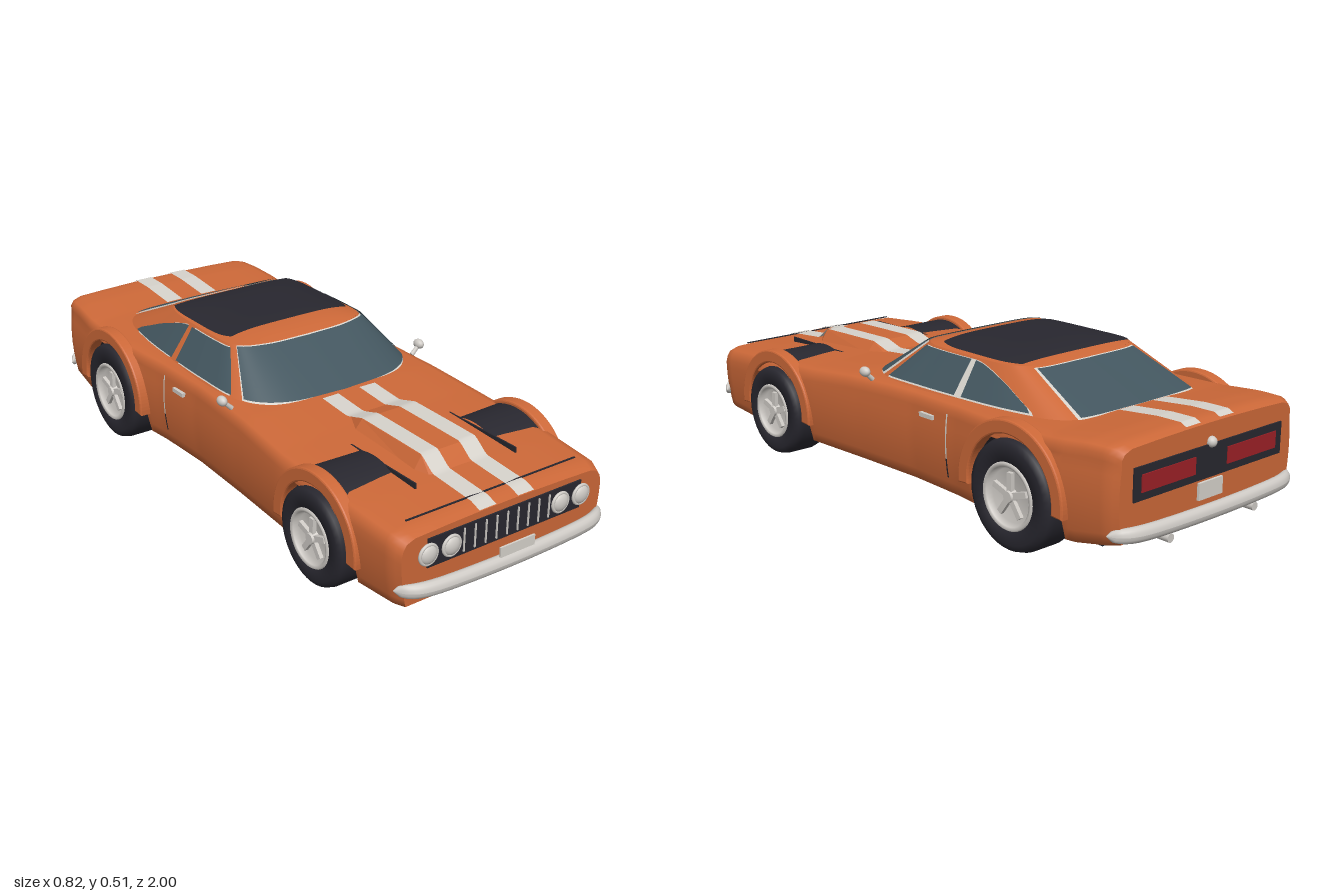
import * as THREE from 'three';

const mat = (name, color) => {
  const m = new THREE.MeshStandardMaterial({ color, side: THREE.DoubleSide });
  m.name = name;
  return m;
};

// Piecewise-linear lookup in a list of [z, value] pairs, z ascending
const lookup = (t, z) => {
  let i = 1;
  while (i < t.length - 1 && z > t[i][0]) i++;
  const k = THREE.MathUtils.clamp((z - t[i - 1][0]) / (t[i][0] - t[i - 1][0]), 0, 1);
  return t[i - 1][1] + (t[i][1] - t[i - 1][1]) * k;
};

// Smooth surface over u, v in 0..1
function patch(nu, nv, fn) {
  const pos = [], index = [];
  for (let i = 0; i <= nu; i++) for (let j = 0; j <= nv; j++) pos.push(...fn(i / nu, j / nv));
  for (let i = 0; i < nu; i++) for (let j = 0; j < nv; j++) {
    const a = i * (nv + 1) + j, b = a + nv + 1;
    index.push(a, b, a + 1, b, b + 1, a + 1);
  }
  const g = new THREE.BufferGeometry();
  g.setAttribute('position', new THREE.Float32BufferAttribute(pos, 3));
  g.setIndex(index);
  g.computeVertexNormals();
  return g;
}

// Body proportions along z
const halfWidth = z => lookup([[-0.945, 0.36], [-0.91, 0.375], [-0.75, 0.392], [-0.5, 0.392], [-0.3, 0.37],
  [-0.1, 0.362], [0.15, 0.372], [0.4, 0.387], [0.7, 0.389], [0.9, 0.378], [0.935, 0.365]], z);
const topY = z => lookup([[-0.945, 0.385], [-0.92, 0.397], [-0.84, 0.396], [-0.7, 0.382], [-0.4, 0.375], [0, 0.37],
  [0.2, 0.362], [0.4, 0.345], [0.585, 0.335], [0.75, 0.325], [0.9, 0.313], [0.935, 0.3]], z);
const baseY = z => lookup([[-0.945, 0.13], [-0.8, 0.1], [-0.6, 0.09], [0.75, 0.09], [0.935, 0.1]], z);
const deckY = (x, z) => topY(z) + 0.008 * (1 - (x / 0.34) ** 2);
const sideX = (y, z) => halfWidth(z) * (1 - 0.05 * ((y - 0.25) / 0.15) ** 2);
const axles = [{ z: 0.585, y: 0.16, r: 0.15, name: 'front' }, { z: -0.575, y: 0.175, r: 0.165, name: 'rear' }];

// Half cross-section of the body, from the sill to the centre line
function section(z) {
  const w = halfWidth(z), t = topY(z), ys = t - 0.045;
  let yb = baseY(z), lip = 0.29;
  for (const a of axles) {
    const R = a.r + 0.015, d = Math.abs(z - a.z);
    if (d < R) { yb = Math.min(a.y + Math.sqrt(R * R - d * d), ys - 0.01); lip = sideX(yb, z) - 0.01; }
  }
  const p = [[lip, yb]];
  for (let i = 0; i <= 7; i++) { const y = yb + (ys - yb) * i / 7; p.push([sideX(y, z), y]); }
  p.push([w * 0.985, t - 0.025], [w * 0.955, t - 0.009]);
  for (const f of [0.88, 0.6, 0.3, 0]) p.push([w * f, deckY(w * f, z)]);
  return p;
}
const fullSection = z => {
  const h = section(z);
  return [...h, ...h.slice(0, -1).reverse().map(([x, y]) => [-x, y])];
};

// Cabin outlines at the belt and at the roof edge, front centre to rear centre
const outline = pts => new THREE.CatmullRomCurve3(pts.map(([x, z]) => new THREE.Vector3(x, 0, z)));
const belt = outline([[0, 0.225], [0.2, 0.205], [0.285, 0.15], [0.325, 0.06], [0.333, -0.1], [0.33, -0.27],
  [0.315, -0.5], [0.285, -0.64], [0.24, -0.695], [0, -0.715]]);
const eave = outline([[0, 0], [0.15, -0.005], [0.22, -0.025], [0.243, -0.06], [0.25, -0.13], [0.25, -0.27],
  [0.245, -0.38], [0.23, -0.43], [0.2, -0.452], [0, -0.46]]);
const roofY = (x, z) => 0.485 + 0.022 * Math.max(0, 1 - (x / 0.25) ** 4) * Math.max(0, 1 - ((z + 0.23) / 0.23) ** 4);

// Point on the cabin wall: u is -9..9 around, v is 0..1 upward
function cabin(u, v, off = 0) {
  const t = Math.min(Math.abs(u) / 9, 1), s = u < 0 ? -1 : 1;
  const b = belt.getPoint(t), e = eave.getPoint(t);
  const y0 = topY(b.z) - 0.006, y1 = roofY(e.x, e.z);
  const x = b.x + (e.x - b.x) * v, z = b.z + (e.z - b.z) * v, zc = -0.22;
  const nx = x / 0.3, nz = (z - zc) / 0.45, l = Math.hypot(nx, nz) || 1;
  return [s * (x + off * nx / l), y0 + (y1 - y0) * v + off, z + off * nz / l];
}

export function createModel() {
  const paint = mat('orange paint', 0xcc6838), dark = mat('black', 0x28272f), glass = mat('tinted glass', 0x43565f),
    chrome = mat('chrome', 0xcfcbc6), white = mat('white stripe', 0xd6d2cb), red = mat('tail light red', 0x9c2026);
  const car = new THREE.Group();
  car.name = 'car';
  const add = (name, g, m, x = 0, y = 0, z = 0, parent = car) => {
    const mesh = new THREE.Mesh(g, m);
    mesh.name = name;
    mesh.position.set(x, y, z);
    parent.add(mesh);
    return mesh;
  };
  const box = (name, m, w, h, d, x, y, z) => add(name, new THREE.BoxGeometry(w, h, d), m, x, y, z);

  // Body shell with wheel openings, and its flat nose and tail
  const N = 104, Z0 = -0.945, Z1 = 0.935;
  const rows = Array.from({ length: N + 1 }, (_, i) => fullSection(Z0 + (Z1 - Z0) * i / N));
  const M = rows[0].length - 1;
  add('bodyShell', patch(N, M, (u, v) => [...rows[Math.round(u * N)][Math.round(v * M)], Z0 + (Z1 - Z0) * u]), paint);
  for (const [name, z] of [['nosePanel', Z1], ['tailPanel', Z0]]) {
    const shape = new THREE.Shape(fullSection(z).map(([x, y]) => new THREE.Vector2(x, y)));
    add(name, new THREE.ShapeGeometry(shape), paint, 0, 0, z);
  }
  box('floorPan', dark, 0.6, 0.012, 1.67, 0, 0.086, 0);

  // Cabin walls, roof and vinyl top
  add('cabinWalls', patch(144, 8, (u, v) => cabin(u * 18 - 9, v)), paint);
  add('roof', patch(96, 10, (u, v) => {
    const [x, , z] = cabin(u * 18 - 9, 1), X = x * (1 - v), Z = -0.23 + (z + 0.23) * (1 - v);
    return [X, roofY(X, Z), Z];
  }), paint);
  add('vinylTop', patch(24, 24, (u, v) => {
    const z = -0.435 + 0.345 * v, x = (u * 2 - 1) * (0.243 - 0.02 * Math.abs(2 * v - 1) ** 5);
    return [x, roofY(x, z) + 0.004, z];
  }), dark);

  // Windows with a pale trim just beneath each pane
  const pane = (name, u0, u1, vTop) => {
    const build = (grow, off) => patch(30, 8, (a, b) => {
      const u = u0 - grow * 3 + (u1 - u0 + grow * 6) * a, lo = 0.09 - grow;
      return cabin(u, lo + (vTop(u) + grow - lo) * b, off);
    });
    add(name + 'Trim', build(0.025, 0.002), white);
    add(name, build(0, 0.005), glass);
  };
  pane('windshield', -2.45, 2.45, () => 0.96);
  pane('rearWindowLeft', 8.05, 9, () => 0.93);
  pane('rearWindowRight', -9, -8.05, () => 0.93);
  for (const s of [1, -1]) {
    const side = s > 0 ? 'left' : 'right';
    pane(side + 'DoorWindow', 2.95 * s, 4.93 * s, () => 0.92);
    pane(side + 'QuarterWindow', 5.08 * s, 6.4 * s, u => 0.92 - 0.72 * ((Math.abs(u) - 5) / 1.4) ** 2);
  }

  // Hood scoop and the stripes running over it
  const scoopRise = z => lookup([[0.34, -0.004], [0.42, 0.026], [0.69, 0.036], [0.745, -0.004]], z);
  const profile = [[-0.13, 0], [-0.1, 1], [0.1, 1], [0.13, 0]];
  const scoopZ = [0.34, 0.42, 0.69, 0.745];
  const scoop = patch(3, 3, (u, v) => {
    const i = Math.round(u * 3), z = scoopZ[i], [x, k] = profile[Math.round(v * 3)];
    return [x * (i % 3 ? 1 : 0.85), deckY(0, z) + (k ? scoopRise(z) : -0.01), z];
  }).toNonIndexed();
  scoop.computeVertexNormals();
  add('hoodScoop', scoop, paint);
  const stripe = (name, x0, z0, z1) => add(name, patch(60, 2, (u, v) => {
    const z = z0 + (z1 - z0) * u, x = x0 - 0.03 + 0.06 * v;
    return [x, Math.max(deckY(x, z), deckY(0, z) + scoopRise(z)) + 0.003, z];
  }), white);
  for (const s of [1, -1]) {
    stripe('hoodStripe', 0.07 * s, 0.225, 0.935);
    stripe('trunkStripe', 0.07 * s, -0.94, -0.7);
  }
  box('hoodSeam', dark, 0.62, 0.003, 0.005, 0, deckY(0.2, 0.88) + 0.004, 0.88);

  // Wheels, wells and flared arches
  const flare = R => {
    const s = new THREE.Shape();
    s.absarc(0, 0, R + 0.04, -0.08, Math.PI + 0.08, false);
    s.absarc(0, 0, R + 0.008, Math.PI + 0.08, -0.08, true);
    return new THREE.ExtrudeGeometry(s, { depth: 0.03, bevelEnabled: true, bevelSize: 0.005, bevelThickness: 0.006,
      bevelSegments: 2, curveSegments: 28 });
  };
  const lathe = pts => new THREE.LatheGeometry(pts.map(p => new THREE.Vector2(...p)), 40).rotateZ(-Math.PI / 2);
  for (const a of axles) for (const s of [1, -1]) {
    const wheel = new THREE.Group();
    wheel.name = a.name + 'Wheel';
    wheel.position.set(0.34 * s, a.y, a.z);
    wheel.rotation.y = s > 0 ? 0 : Math.PI;
    car.add(wheel);
    const r = a.r, k = r * 0.58;
    add('tire', lathe([[0, -0.068], [r * 0.85, -0.068], [r * 0.96, -0.06], [r, -0.04], [r, 0.04],
      [r * 0.96, 0.06], [r * 0.85, 0.068], [k, 0.066], [k, 0.04]]), dark, 0, 0, 0, wheel);
    add('rim', lathe([[k + 0.004, 0.066], [k, 0.072], [k * 0.9, 0.068], [k * 0.82, 0.05], [0, 0.046]]), chrome, 0, 0, 0, wheel);
    for (let i = 0; i < 5; i++) {
      const spoke = new THREE.BoxGeometry(0.012, k * 0.72, 0.018).translate(0.056, k * 0.36, 0);
      add('spoke', spoke.rotateX(i * Math.PI * 0.4), chrome, 0, 0, 0, wheel);
    }
    add('hub', new THREE.CylinderGeometry(0.016, 0.022, 0.026, 20).rotateZ(-Math.PI / 2), chrome, 0.056, 0, 0, wheel);

    const front = a.z > 0, bottom = front ? 0 : 0.085, top = front ? 0.346 : 0.355;
    box(a.name + 'WellPlate', dark, 0.005, top - bottom, 0.37, 0.185 * s, (top + bottom) / 2, a.z);
    const well = new THREE.CylinderGeometry(0.19, 0.19, 0.18, 40, 1, true, 0, Math.PI).rotateZ(Math.PI / 2);
    add(a.name + 'Well', well, dark, 0.275 * s, a.y + 0.004, a.z);
    const arch = add(a.name + 'Arch', flare(a.r), paint, (front ? 0.384 : 0.394) * s, a.y + 0.01, a.z);
    arch.rotation.y = Math.PI / 2;
    arch.position.x -= s > 0 ? 0.022 : 0.008;
  }

  // Bumpers, wrapped at the ends
  for (const s of [1, -1]) add(s > 0 ? 'frontBumper' : 'rearBumper', patch(60, 16, (u, v) => {
    const t = u * 2 - 1, f = Math.sqrt(Math.max(0, 1 - t ** 20)), a = v * Math.PI * 2;
    const bend = 0.018 * t * t + 0.042 * Math.abs(t) ** 10;
    return [0.38 * t, 0.155 + 0.023 * f * Math.sin(a), s * (0.98 - bend + 0.019 * f * Math.cos(a))];
  }), chrome);

  // Grille, headlights and front plate
  box('grille', dark, 0.56, 0.088, 0.012, 0, 0.242, 0.934);
  for (let i = -4; i <= 4; i++) box('grilleBar', chrome, 0.004, 0.072, 0.006, i * 0.039, 0.243, 0.941);
  for (const x of [-0.28, -0.2, 0.2, 0.28]) {
    add('headlightRim', new THREE.TorusGeometry(0.029, 0.005, 10, 32), chrome, x, 0.241, 0.942);
    add('headlight', new THREE.SphereGeometry(0.029, 24, 16).scale(1, 1, 0.55), chrome, x, 0.241, 0.94);
  }
  box('frontPlate', white, 0.126, 0.032, 0.006, 0, 0.191, 0.985);

  // Tail lights, rear plate, filler cap and exhausts
  box('tailLightPanel', dark, 0.62, 0.095, 0.01, 0, 0.285, -0.945);
  box('rearPlate', white, 0.1, 0.05, 0.008, 0, 0.205, -0.95);
  add('fillerCap', new THREE.SphereGeometry(0.016, 20, 12), chrome, 0, 0.338, -0.948);
  for (const s of [1, -1]) {
    box('tailLight', red, 0.215, 0.05, 0.008, 0.175 * s, 0.285, -0.949);
    add('exhaustTip', new THREE.CylinderGeometry(0.013, 0.013, 0.09, 20).rotateX(Math.PI / 2), chrome, 0.18 * s, 0.112, -0.925);

    // Mirrors, door handles and door seams
    add('mirror', new THREE.SphereGeometry(0.016, 20, 14).scale(0.9, 1, 1.3), chrome, 0.38 * s, 0.39, 0.1);
    const stalk = add('mirrorStalk', new THREE.CylinderGeometry(0.006, 0.008, 0.04, 12), chrome, 0.364 * s, 0.374, 0.103);
    stalk.rotation.z = -0.8 * s;
    box('doorHandle', chrome, 0.012, 0.013, 0.06, (sideX(0.31, -0.18) + 0.004) * s, 0.31, -0.18);
    const seam = (z, y0, y1) => patch(12, 1, (u, v) => {
      const y = y0 + (y1 - y0) * u, zz = z - 0.003 + 0.006 * v;
      return [s * (sideX(y, zz) + 0.002), y, zz];
    });
    add('doorRearSeam', seam(-0.27, 0.2, 0.335), white);
    add('doorRearSeamLower', seam(-0.27, 0.14, 0.2), dark);
  }
  return car;
}
